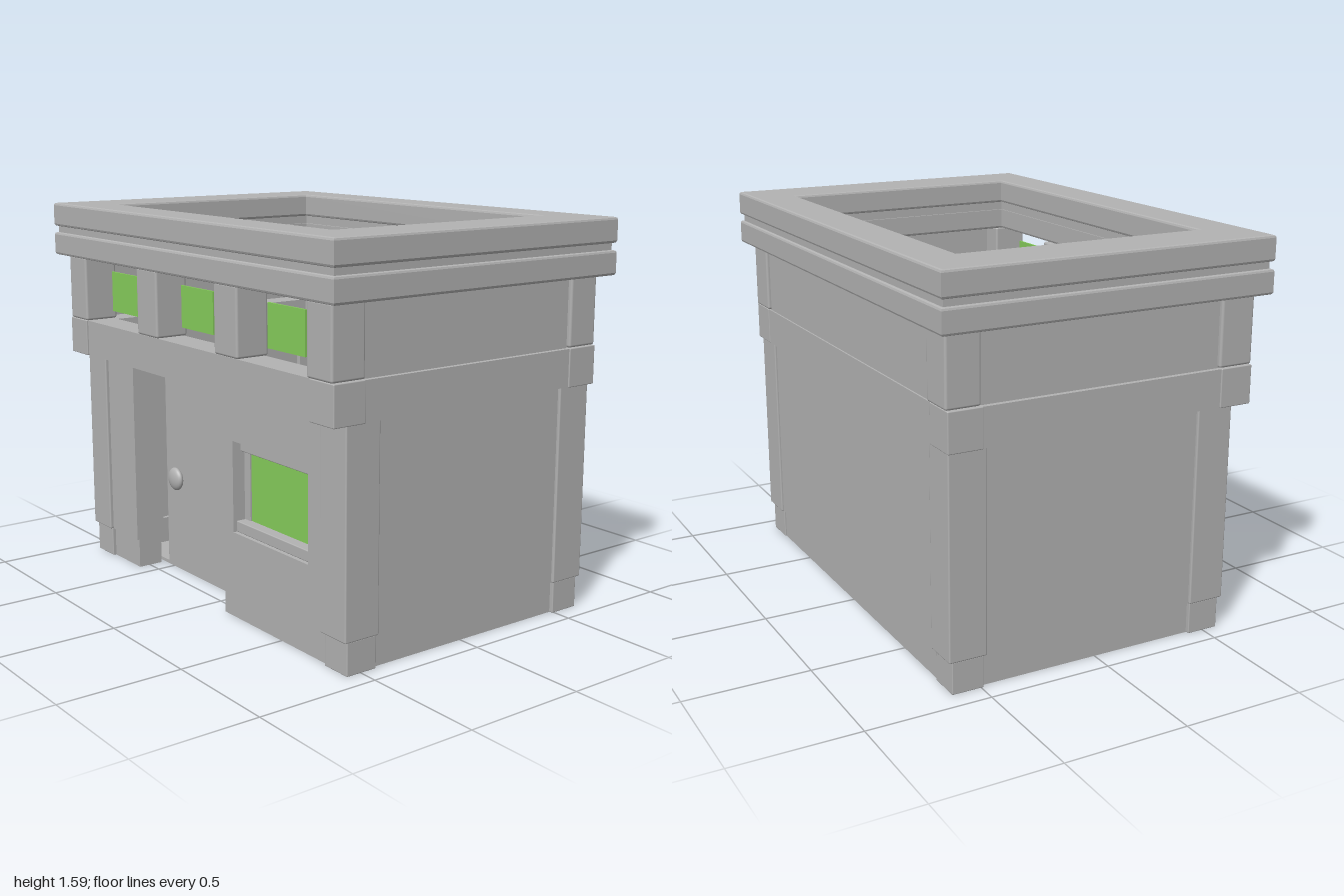
import * as THREE from 'three';
import { RoundedBoxGeometry } from 'three/addons/geometries/RoundedBoxGeometry.js';

export function createModel() {
  const stone = new THREE.MeshStandardMaterial({ color: 0xb2b2b2 });
  stone.name = 'grey stone';
  const glass = new THREE.MeshStandardMaterial({ color: 0x86cc5b });
  glass.name = 'green glass';
  const model = new THREE.Group();
  model.name = 'smallShop';

  const add = (name, geometry, material = stone) => {
    const mesh = new THREE.Mesh(geometry, material);
    mesh.name = name;
    model.add(mesh);
    return mesh;
  };
  // Box given by its extents; r > 0 softens the edges
  const box = (name, x0, x1, y0, y1, z0, z1, r = 0, material = stone) => {
    const w = x1 - x0, h = y1 - y0, d = z1 - z0;
    const g = r ? new RoundedBoxGeometry(w, h, d, 2, r) : new THREE.BoxGeometry(w, h, d);
    g.translate((x0 + x1) / 2, (y0 + y1) / 2, (z0 + z1) / 2);
    return add(name, g, material);
  };
  const rect = (path, x0, x1, y0, y1) => {
    path.moveTo(x0, y0);
    path.lineTo(x1, y0);
    path.lineTo(x1, y1);
    path.lineTo(x0, y1);
    path.closePath();
    return path;
  };
  // Horizontal rectangular ring with optional bevel
  const ring = (name, ox, oz, ix, iz, y0, y1, bevel = 0) => {
    const shape = rect(new THREE.Shape(), -ox, ox, -oz, oz);
    shape.holes.push(rect(new THREE.Path(), -ix, ix, -iz, iz));
    const g = new THREE.ExtrudeGeometry(shape, {
      depth: y1 - y0 - 2 * bevel, bevelEnabled: bevel > 0,
      bevelSize: bevel, bevelThickness: bevel, bevelOffset: -bevel, bevelSegments: 2,
    });
    g.rotateX(-Math.PI / 2).translate(0, y0 + bevel, 0);
    return add(name, g);
  };

  // Floor
  box('floor', -0.9, 0.9, 0, 0.015, -0.6, 0.42);

  // Corner feet, lower posts, band blocks and upper posts
  for (const s of [-1, 1]) {
    const corner = (name, a, b, y0, y1, z0, z1, r) =>
      box(name, s < 0 ? -b : a, s < 0 ? -a : b, y0, y1, z0, z1, r);
    corner('frontFoot', 0.79, 0.922, 0, 0.13, 0.43, 0.565, 0.004);
    corner('backFoot', 0.79, 0.922, 0, 0.13, -0.62, -0.49, 0.004);
    corner('frontPost', 0.78, 0.93, 0.13, 0.935, 0.425, 0.58, 0.006);
    corner('backPost', 0.78, 0.93, 0.13, 0.935, -0.635, -0.48, 0.006);
    corner('frontBandBlock', 0.81, 0.95, 0.93, 1.085, 0.51, 0.65, 0.004);
    corner('backBandBlock', 0.81, 0.95, 0.93, 1.085, -0.645, -0.505, 0.004);
    corner('upperFrontPost', 0.797, 0.942, 1.085, 1.36, 0.505, 0.653, 0.01);
    corner('upperBackPost', 0.797, 0.942, 1.085, 1.36, -0.65, -0.51, 0.01);
    // Side walls
    corner('sideBase', 0.78, 0.905, 0, 0.13, -0.5, 0.45);
    corner('sideWall', 0.8, 0.918, 0.13, 0.935, -0.5, 0.45);
    corner('upperSideWall', 0.89, 0.925, 1.08, 1.36, -0.53, 0.53);
  }

  // Back walls
  box('backBase', -0.8, 0.8, 0, 0.13, -0.612, -0.53);
  box('backWall', -0.8, 0.8, 0.13, 0.935, -0.625, -0.53);
  box('upperBackWall', -0.82, 0.82, 1.08, 1.36, -0.635, -0.6);

  // Band between the storeys
  ring('band', 0.945, 0.642, 0.775, 0.515, 0.932, 1.083);

  // Front pier beside the door
  box('pierBase', -0.8, -0.575, 0, 0.13, 0.44, 0.55);
  box('pier', -0.8, -0.565, 0.13, 0.935, 0.43, 0.565);

  // Front wall with its window opening
  box('frontWallBase', 0.112, 0.8, 0, 0.13, 0.4, 0.55);
  const wall = rect(new THREE.Shape(), 0.1, 0.8, 0.13, 0.935);
  wall.holes.push(rect(new THREE.Path(), 0.2, 0.69, 0.36, 0.73));
  const wallGeometry = new THREE.ExtrudeGeometry(wall, { depth: 0.175, bevelEnabled: false });
  add('frontWall', wallGeometry.translate(0, 0, 0.39));

  // Window frame and pane
  box('windowSill', 0.2, 0.69, 0.36, 0.405, 0.48, 0.55, 0.004);
  box('windowLintel', 0.2, 0.69, 0.685, 0.73, 0.48, 0.53, 0.004);
  box('windowJamb', 0.2, 0.24, 0.405, 0.685, 0.48, 0.51);
  box('windowJamb', 0.65, 0.69, 0.405, 0.685, 0.48, 0.51);
  box('windowPane', 0.24, 0.65, 0.405, 0.685, 0.496, 0.504, 0, glass);

  // Door and knob
  box('door', -0.545, 0.06, 0.005, 0.905, 0.34, 0.42, 0.005);
  const knob = add('doorKnob', new THREE.SphereGeometry(0.05, 24, 16));
  knob.scale.z = 0.45;
  knob.position.set(-0.442, 0.415, 0.437);

  // Upper window posts and hanging panes
  for (const x of [-0.283, 0.292])
    box('upperMiddlePost', x - 0.078, x + 0.078, 1.085, 1.36, 0.51, 0.653, 0.01);
  for (const x of [-0.572, -0.01, 0.585])
    box('upperPane', x - 0.115, x + 0.115, 1.135, 1.305, 0.576, 0.584, 0, glass);

  // Cornice in two mouldings with a groove between
  ring('lowerCornice', 1, 0.69, 0.775, 0.52, 1.36, 1.458, 0.01);
  ring('corniceGroove', 0.985, 0.677, 0.775, 0.52, 1.45, 1.495);
  ring('upperCornice', 1, 0.69, 0.763, 0.51, 1.485, 1.585, 0.01);

  return model;
}
